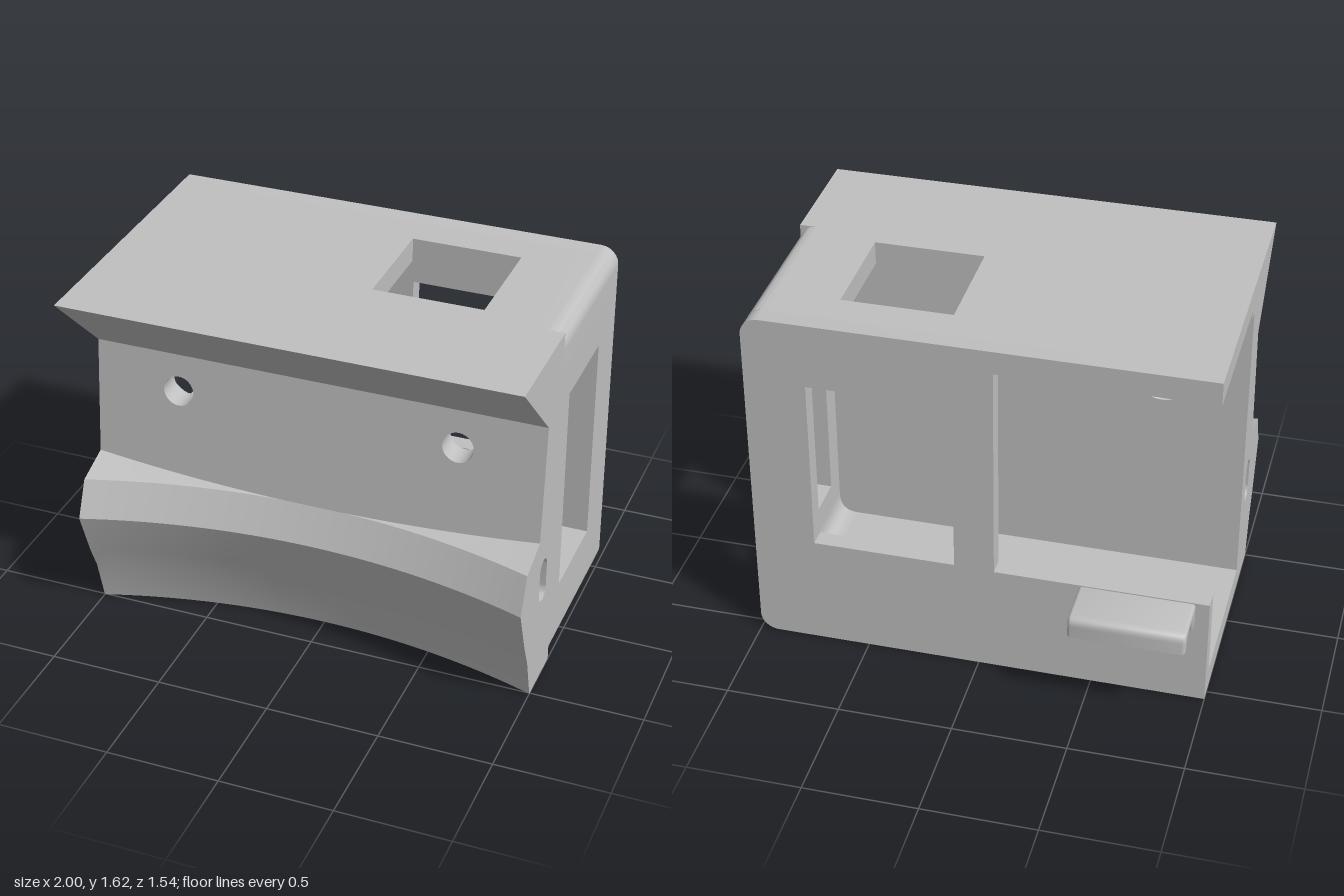
import * as THREE from 'three';
import { toCreasedNormals } from 'three/addons/utils/BufferGeometryUtils.js';

const H = 1.615;          // overall height
const BACK = -0.55;       // rear face
const INNER_BACK = -0.47; // inside of the rear wall
const SPLIT = 0.24;       // where the hollow shell meets the solid front

const outline = (pts) => new THREE.Shape(pts.map(([a, b]) => new THREE.Vector2(a, b)));

function rectHole(shape, a0, a1, b0, b1) {
  shape.holes.push(outline([[a0, b0], [a1, b0], [a1, b1], [a0, b1]]));
  return shape;
}

const extrude = (shape, depth, options = {}) =>
  new THREE.ExtrudeGeometry(shape, { depth, bevelEnabled: false, curveSegments: 32, ...options });

// Shape drawn in (z, y), extruded from x0 to x1
function alongX(shape, x0, x1, options) {
  return extrude(shape, x1 - x0, options).rotateY(-Math.PI / 2).translate(x1, 0, 0);
}

// Shape drawn in (x, y), extruded from z0 to z1
function alongZ(shape, z0, z1, options) {
  return extrude(shape, z1 - z0, options).translate(0, 0, z0);
}

// Shape drawn in (x, z), extruded from y0 to y1
function alongY(shape, y0, y1) {
  return extrude(shape, y1 - y0).rotateX(Math.PI / 2).translate(0, y1, 0);
}

// Applies a rule to every vertex
function reshape(geometry, rule) {
  const p = geometry.attributes.position;
  const v = new THREE.Vector3();
  for (let i = 0; i < p.count; i++) {
    rule(v.fromBufferAttribute(p, i));
    p.setXYZ(i, v.x, v.y, v.z);
  }
  return geometry;
}

export function createModel() {
  const grey = new THREE.MeshStandardMaterial({ color: 0xc0c0c0 });
  grey.name = 'grey plastic';
  const model = new THREE.Group();
  model.name = 'housing';
  const add = (name, geometry, crease = 0.4) => {
    const mesh = new THREE.Mesh(toCreasedNormals(geometry, crease), grey);
    mesh.name = name;
    model.add(mesh);
  };

  // Rear wall: rounded on the left, with a window and a bay open to the right
  const r = 0.08;
  const rear = new THREE.Shape();
  rear.moveTo(-1, 0);
  rear.lineTo(1 - r, 0);
  rear.absarc(1 - r, r, r, -Math.PI / 2, 0, false);
  rear.absarc(1 - r, H - r, r, 0, Math.PI / 2, false);
  [[-1, H], [-1, 1.51], [-0.07, 1.51], [-0.07, 0.51], [-1, 0.51]].forEach(([x, y]) => rear.lineTo(x, y));
  rectHole(rear, 0.105, 0.73, 0.515, 1.32);
  add('rearWall', alongZ(rear, BACK, INNER_BACK));

  // Roof, floor and left side of the hollow shell
  const plate = () => outline([[-1, INNER_BACK], [0.8, INNER_BACK], [0.8, SPLIT], [-1, SPLIT]]);
  add('roof', alongY(rectHole(plate(), 0.155, 0.64, -0.315, 0.175), 1.51, H));
  add('floor', alongY(plate(), 0, 0.105));
  const side = outline([[INNER_BACK, 0.2], [SPLIT, 0.2], [SPLIT, H - 0.2], [INNER_BACK, H - 0.2]]);
  add('leftSide', alongX(rectHole(side, -0.305, 0.125, 0.32, 1.27), 0.88, 1));

  // Rounded corners joining the side to the roof and floor
  for (const top of [true, false]) {
    const corner = new THREE.Shape();
    const Y = (d) => (top ? H - d : d);
    corner.moveTo(0.8, Y(0));
    corner.lineTo(1 - r, Y(0));
    corner.quadraticCurveTo(1 - r * 0.42, Y(0), 1 - r * 0.29, Y(r * 0.29));
    corner.quadraticCurveTo(1, Y(r * 0.58), 1, Y(r));
    corner.lineTo(1, Y(0.2));
    corner.lineTo(0.88, Y(0.2));
    corner.quadraticCurveTo(0.88, Y(0.105), 0.8, Y(0.105));
    add(top ? 'upperCorner' : 'lowerCorner', alongZ(corner, INNER_BACK, SPLIT, { curveSegments: 8 }));
  }

  // Small ledge under the roof against the front wall
  add('innerLedge', new THREE.BoxGeometry(1.88, 0.04, 0.06).translate(-0.06, 1.49, SPLIT - 0.03));

  // Overhanging brow along the top of the front
  add('brow', alongX(outline([[SPLIT, 1.27], [0.41, 1.27], [0.77, H], [SPLIT, H]]), -1, 1));

  // Sloping front wall with two screw holes, countersunk from inside
  const wallZ = (y) => 0.41 + (1.27 - y) * 0.085;
  const wall = outline([[-1, 0.685], [1, 0.685], [1, 1.27], [-1, 1.27]]);
  const holeX = 0.625, holeY = 1.1;
  for (const s of [-1, 1]) {
    const hole = new THREE.Path();
    hole.absarc(s * holeX, holeY, 0.068, 0, Math.PI * 2, true);
    wall.holes.push(hole);
  }
  add('frontWall', reshape(alongZ(wall, 0, 2, { steps: 2, curveSegments: 24 }), (v) => {
    const level = Math.round(v.z);
    const cx = Math.sign(v.x) * holeX;
    if (level === 0 && Math.hypot(v.x - cx, v.y - holeY) < 0.1) {
      v.x = cx + (v.x - cx) * 1.9;
      v.y = holeY + (v.y - holeY) * 1.9;
    }
    v.z = [SPLIT, 0.32, wallZ(v.y)][level];
  }));

  // Lower front: concave across its width, with a slot running through it
  const R = 3.15;
  const inset = (x) => Math.sqrt(R * R - x * x) - Math.sqrt(R * R - 1);
  const lower = outline([
    [SPLIT, 0], [0.505, 0], [0.56, 0.2], [0.61, 0.31], [0.69, 0.525],
    [0.62, 0.685], [0.455, 0.74], [SPLIT, 0.74],
  ]);
  const slot = new THREE.Path();
  slot.absarc(0.382, 0.562, 0.048, 0, Math.PI, false);
  slot.absarc(0.382, 0.453, 0.048, Math.PI, Math.PI * 2, false);
  lower.holes.push(slot);
  add('curvedFront', reshape(alongX(lower, -1, 1, { steps: 40, curveSegments: 16 }), (v) => {
    if (v.z < 0.45) return;
    const d = inset(v.x);
    if (v.y > 0.7) v.y = Math.max(0.685, 0.685 + (0.165 - d) / 3);
    else v.z -= d;
  }), 0.25);

  // Hook on the rear wall below the open bay
  const hook = new THREE.Shape();
  hook.moveTo(-0.5, 0.505);
  hook.lineTo(-0.735, 0.505);
  hook.quadraticCurveTo(-0.775, 0.505, -0.775, 0.465);
  [[-0.775, 0.41], [-0.74, 0.39], [-0.705, 0.465], [-0.615, 0.465], [-0.585, 0.39], [-0.5, 0.39]]
    .forEach(([z, y]) => hook.lineTo(z, y));
  const b = 0.014;
  add('hook', alongX(hook, -0.94 + b, -0.44 - b, {
    bevelEnabled: true, bevelSize: b, bevelThickness: b, bevelOffset: -b, bevelSegments: 3, curveSegments: 8,
  }), 0.6);

  return model;
}
